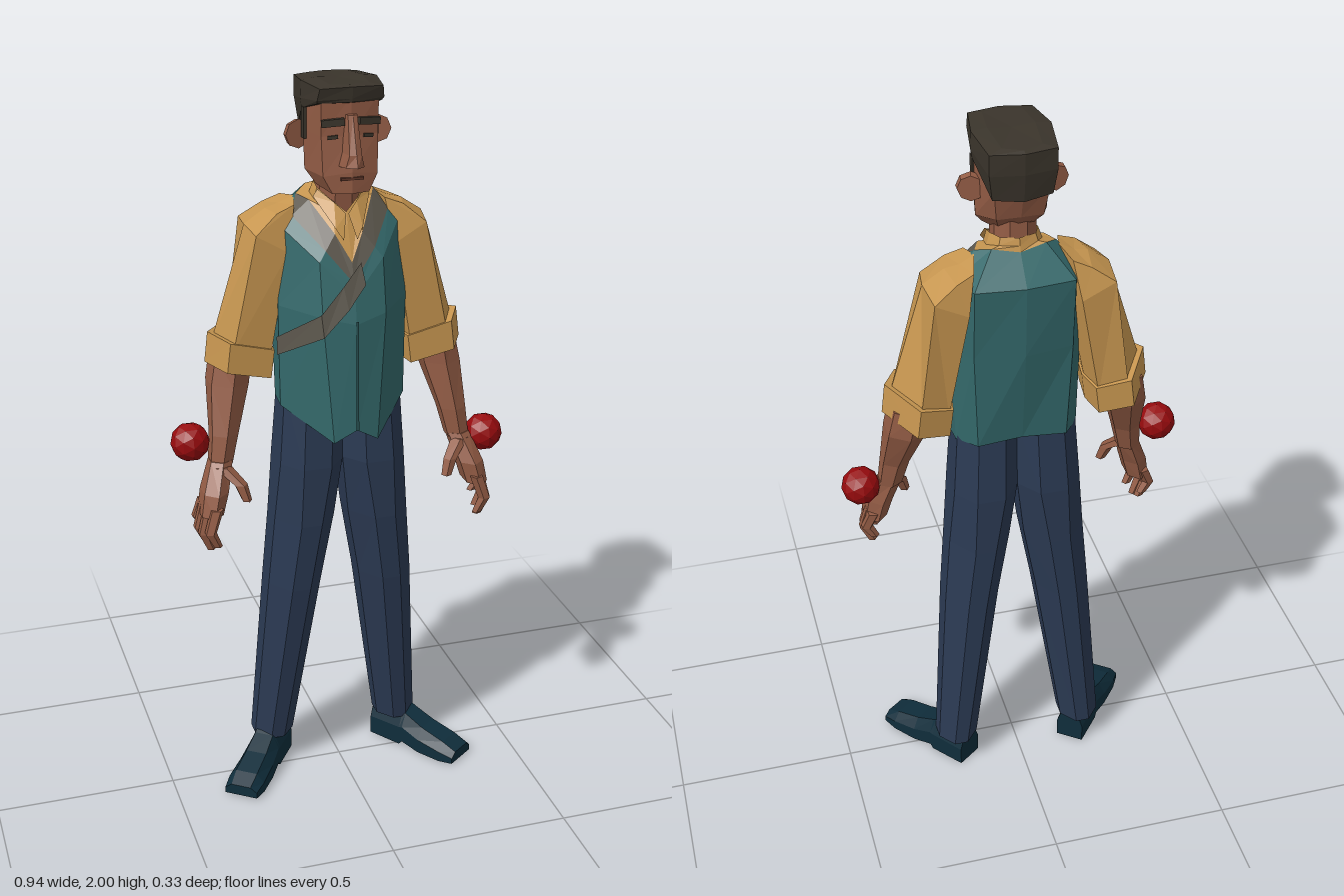
import * as THREE from 'three';

const paint = (name, color, side = THREE.FrontSide) => {
  const m = new THREE.MeshStandardMaterial({ color, side, flatShading: true });
  m.name = name;
  return m;
};

export function createModel() {
  const D = THREE.DoubleSide;
  const skin = paint('skin', 0x935c45), lips = paint('darkSkin', 0x5e3629);
  const shirt = paint('shirt', 0xc79650, D), vest = paint('vest', 0x34696b, D);
  const seam = paint('vestSeam', 0x284f51, D), strapMat = paint('strap', 0x5d584e, D);
  const denim = paint('trousers', 0x2b3a53), leather = paint('shoes', 0x0f2d3b);
  const hairMat = paint('hair', 0x3a342b), red = paint('red', 0x960a0d);

  const model = new THREE.Group();
  const add = (name, geo, mat) => {
    const mesh = new THREE.Mesh(geo, mat);
    mesh.name = name;
    model.add(mesh);
    return mesh;
  };

  // skin a surface over closed rings of [x, y, z]; s mirrors in x, faces are turned outward
  const loft = (name, rings, mat, s = 1, cap = true) => {
    const tris = [];
    const n = rings[0].length;
    for (let i = 0; i + 1 < rings.length; i++) {
      for (let j = 0; j < n; j++) {
        const k = (j + 1) % n, a = rings[i][j], b = rings[i][k], c = rings[i + 1][k], d = rings[i + 1][j];
        tris.push([a, d, b], [b, d, c]);
      }
    }
    if (cap) {
      const mid = r => [0, 1, 2].map(q => r.reduce((t, p) => t + p[q], 0) / n);
      const lo = rings[0], hi = rings[rings.length - 1], ml = mid(lo), mh = mid(hi);
      for (let j = 0; j < n; j++) {
        const k = (j + 1) % n;
        tris.push([ml, lo[j], lo[k]], [mh, hi[k], hi[j]]);
      }
    }
    const V = p => new THREE.Vector3(p[0] * s, p[1], p[2]);
    const o = V(rings[0][0]);
    let vol = 0;
    for (const [a, b, c] of tris) vol += V(a).sub(o).dot(V(b).sub(o).cross(V(c).sub(o)));
    const pos = tris.flatMap(t => (vol < 0 ? [t[0], t[2], t[1]] : t)).flatMap(p => [p[0] * s, p[1], p[2]]);
    const g = new THREE.BufferGeometry();
    g.setAttribute('position', new THREE.Float32BufferAttribute(pos, 3));
    g.computeVertexNormals();
    return add(name, g, mat);
  };
  // complete a ring from its +x half, centre points first and last
  const whole = h => [...h, ...h.slice(1, -1).reverse().map(([x, y, z]) => [-x, y, z])];
  // chamfered rectangle ring at height y
  const block = (x0, x1, y, z0, z1, c = 0.33) => {
    const cx = (x1 - x0) * c, cz = (z1 - z0) * c;
    return [[x0 + cx, y, z0], [x1 - cx, y, z0], [x1, y, z0 + cz], [x1, y, z1 - cz],
      [x1 - cx, y, z1], [x0 + cx, y, z1], [x0, y, z1 - cz], [x0, y, z0 + cz]];
  };
  // limb from [x, y, z, radiusX, radiusZ] stations
  const limb = (name, stations, mat, s, sides = 6) => loft(name, stations.map(([x, y, z, rx, rz]) =>
    Array.from({ length: sides }, (_, i) => {
      const t = (i + 0.5) / sides * Math.PI * 2;
      return [x + Math.cos(t) * rx, y, z + Math.sin(t) * rz];
    })), mat, s);
  // thin open band between two edges
  const band = (name, e1, e2, mat, s = 1) => {
    const pos = [];
    for (let i = 0; i + 1 < e1.length; i++) {
      const [a, b, c, d] = [e1[i], e2[i], e2[i + 1], e1[i + 1]];
      const quad = [a, b, c, a, c, d];
      for (const p of s > 0 ? quad : quad.reverse()) pos.push(p[0] * s, p[1], p[2]);
    }
    const g = new THREE.BufferGeometry();
    g.setAttribute('position', new THREE.Float32BufferAttribute(pos, 3));
    g.computeVertexNormals();
    add(name, g, mat);
  };
  const box = (name, w, h, d, x, y, z, mat, rz = 0, ry = 0) => {
    const m = add(name, new THREE.BoxGeometry(w, h, d), mat);
    m.position.set(x, y, z);
    m.rotation.set(0, ry, rz);
  };

  // waistcoat: V neckline edged by lapels, shoulders, chest, pointed hem
  const neckline = [[0, 1.70, -0.09], [0.07, 1.71, -0.075], [0.105, 1.695, -0.04], [0.085, 1.69, 0.01], [0.037, 1.615, 0.085], [0, 1.545, 0.115]];
  const shoulder = [[0, 1.63, -0.153], [0.13, 1.63, -0.14], [0.16, 1.63, -0.06], [0.16, 1.625, 0.012], [0.085, 1.55, 0.11], [0, 1.46, 0.143]];
  const chest = [[0, 1.43, -0.145], [0.13, 1.43, -0.125], [0.172, 1.42, -0.05], [0.175, 1.42, 0.03], [0.085, 1.41, 0.138], [0, 1.39, 0.157]];
  const hem = [[0, 1.16, -0.115], [0.12, 1.15, -0.115], [0.165, 1.14, -0.05], [0.172, 1.14, 0.03], [0.06, 1.065, 0.155], [0, 1.1, 0.164]];
  const lapelEdge = neckline.map((p, i) => (i < 3 ? p : p.map((v, q) => v + (shoulder[i][q] - v) * 0.6)));
  loft('waistcoat', [hem, chest, shoulder, lapelEdge].map(whole), vest, 1, false);
  band('waistcoatClosure', [[-0.003, 1.4, 0.16], [-0.003, 1.1, 0.168]], [[0.004, 1.4, 0.16], [0.004, 1.1, 0.168]], seam);

  // shirt front and collar
  const collarBase = [[0, 1.715, -0.085], [0.05, 1.715, -0.07], [0.072, 1.7, -0.03], [0.07, 1.69, 0.01], [0.035, 1.665, 0.055], [0, 1.635, 0.075]];
  const collarTop = [[0, 1.735, -0.08], [0.045, 1.735, -0.065], [0.062, 1.73, -0.025], [0.062, 1.72, 0.01], [0.035, 1.695, 0.045], [0, 1.665, 0.062]];
  loft('shirtFront', [neckline, collarBase].map(whole), shirt, 1, false);
  loft('collar', [collarBase, collarTop].map(whole), shirt, 1, false);
  for (const s of [1, -1]) {
    band('lapel', neckline.slice(2), lapelEdge.slice(2), strapMat, s);
    band('collarFlap', [[0.003, 1.662, 0.072], [0.03, 1.69, 0.056], [0.064, 1.718, 0.02]],
      [[0.018, 1.6, 0.102], [0.036, 1.63, 0.09], [0.076, 1.7, 0.02]], shirt, s);
  }
  // diagonal strap across the chest
  band('strap', [[0.022, 1.545, 0.122], [-0.03, 1.49, 0.14], [-0.09, 1.42, 0.142], [-0.181, 1.335, 0.035]],
    [[0.03, 1.49, 0.139], [-0.02, 1.43, 0.154], [-0.085, 1.36, 0.15], [-0.18, 1.285, 0.035]], strapMat);

  // neck and head
  limb('neck', [[0, 1.63, -0.02, 0.06, 0.06], [0, 1.8, -0.01, 0.058, 0.065]], skin, 1, 8);
  loft('head', [
    [[0, 1.745, -0.05], [0.04, 1.74, -0.03], [0.07, 1.735, 0.03], [0.048, 1.725, 0.103], [0, 1.725, 0.115]],
    [[0, 1.8, -0.095], [0.06, 1.795, -0.085], [0.092, 1.77, 0], [0.072, 1.77, 0.098], [0, 1.78, 0.115]],
    [[0, 1.88, -0.118], [0.07, 1.88, -0.105], [0.095, 1.87, 0], [0.074, 1.87, 0.09], [0, 1.87, 0.105]],
    [[0, 1.97, -0.12], [0.07, 1.97, -0.105], [0.095, 1.97, 0], [0.075, 1.97, 0.095], [0, 1.97, 0.106]],
  ].map(whole), skin);
  loft('nose', [
    [[0, 1.795, 0.1], [0.034, 1.795, 0.1], [0.024, 1.798, 0.138], [0, 1.8, 0.162]],
    [[0, 1.83, 0.1], [0.024, 1.83, 0.1], [0.016, 1.83, 0.142], [0, 1.83, 0.15]],
    [[0, 1.925, 0.09], [0.016, 1.925, 0.09], [0.012, 1.925, 0.115], [0, 1.925, 0.118]],
  ].map(whole), skin);
  box('mouth', 0.06, 0.007, 0.008, 0, 1.764, 0.113, lips);
  loft('hair', [
    [[0, 1.855, -0.122], [0.076, 1.862, -0.109], [0.098, 1.925, 0], [0.084, 1.953, 0.092], [0, 1.956, 0.112]],
    [[0, 1.93, -0.132], [0.085, 1.93, -0.118], [0.102, 1.95, 0], [0.087, 1.962, 0.1], [0, 1.965, 0.114]],
    [[0, 1.985, -0.132], [0.085, 1.985, -0.116], [0.1, 1.995, 0], [0.082, 1.992, 0.108], [0, 1.995, 0.118]],
    [[0, 1.99, -0.12], [0.05, 1.992, -0.1], [0.06, 2, 0], [0.05, 1.998, 0.09], [0, 1.998, 0.1]],
  ].map(whole), hairMat);

  for (const s of [1, -1]) {
    // face details
    box('eyebrow', 0.058, 0.018, 0.016, s * 0.047, 1.906, 0.101, hairMat, s * -0.08, s * 0.2);
    box('eye', 0.026, 0.009, 0.008, s * 0.046, 1.868, 0.097, hairMat, s * -0.1, s * 0.2);
    box('sideburn', 0.008, 0.08, 0.022, s * 0.095, 1.89, 0.008, hairMat);
    const ear = add('ear', new THREE.CylinderGeometry(0.038, 0.034, 0.018, 8), skin);
    ear.position.set(s * 0.106, 1.857, -0.018);
    ear.rotation.set(Math.PI / 2, 0, s * 0.25);

    // sleeve and rolled cuff
    const slope = (pts, y, k) => pts.map(([x, z]) => [x, y + (x - 0.18) * k, z]);
    const elbow = [[0.195, 0.022], [0.295, 0.028], [0.335, -0.05], [0.275, -0.15], [0.2, -0.135], [0.185, -0.06]];
    const cuff = [[0.185, 0.028], [0.305, 0.036], [0.348, -0.045], [0.278, -0.165], [0.19, -0.143], [0.175, -0.06]];
    loft('sleeve', [
      slope(elbow, 1.27, 0.29),
      [[0.145, 1.56, 0.032], [0.23, 1.61, 0.032], [0.242, 1.622, -0.05], [0.232, 1.615, -0.15], [0.145, 1.57, -0.148], [0.13, 1.55, -0.05]],
      [[0.122, 1.678, 0.008], [0.17, 1.66, 0.015], [0.185, 1.66, -0.05], [0.172, 1.655, -0.132], [0.126, 1.675, -0.122], [0.108, 1.688, -0.05]],
    ], shirt, s);
    loft('cuff', [slope(cuff.map(([x, z]) => [x + 0.01, z]), 1.215, 0.24), slope(cuff, 1.295, 0.27)], shirt, s);

    // forearm and hand
    limb('forearm', [[0.336, 0.99, 0.013, 0.034, 0.036], [0.322, 1.07, 0, 0.041, 0.045],
      [0.298, 1.2, -0.045, 0.059, 0.072], [0.285, 1.28, -0.055, 0.056, 0.075]], skin, s);
    limb('palm', [[0.376, 0.865, 0.053, 0.034, 0.058], [0.362, 0.925, 0.045, 0.038, 0.057], [0.336, 1.0, 0.014, 0.034, 0.037]], skin, s);
    limb('thumb', [[0.283, 0.901, 0.085, 0.014, 0.016], [0.297, 0.945, 0.074, 0.019, 0.02], [0.338, 0.988, 0.035, 0.024, 0.027]], skin, s, 5);
    for (let i = 0; i < 4; i++) {
      const z = 0.01 + i * 0.029, x = [0.39, 0.392, 0.386, 0.374][i], drop = [0.045, 0.012, 0, 0.018][i];
      limb('finger', [[x - 0.005, 0.765 + drop, z + 0.003, 0.013, 0.012],
        [x + 0.015, 0.815 + drop * 0.6, z + 0.007, 0.017, 0.016], [x - 0.006, 0.89, z, 0.019, 0.017]], skin, s, 5);
    }

    // trouser leg
    loft('trouserLeg', [
      block(0.13, 0.243, 0.09, -0.131, 0.005), block(0.055, 0.207, 0.6, -0.131, 0.077),
      block(0.02, 0.19, 0.8, -0.131, 0.094), block(0, 0.175, 0.97, -0.128, 0.097, 0.28), block(-0.002, 0.16, 1.18, -0.108, 0.085, 0.28),
    ], denim, s);

    // shoe, turned outward
    const section = ([d, w, y0, h]) => [[-1, y0], [1, y0], [1, y0 + (h - y0) * 0.55], [0.6, h], [-0.6, h], [-1, y0 + (h - y0) * 0.55]]
      .map(([k, y]) => [0.165 + 0.6 * d + 0.8 * k * w, y, -0.088 + 0.8 * d - 0.6 * k * w]);
    loft('shoe', [[-0.016, 0.04, 0, 0.1], [0.09, 0.045, 0, 0.105], [0.1, 0.045, 0.012, 0.1], [0.16, 0.05, 0, 0.075],
      [0.235, 0.053, 0, 0.055], [0.278, 0.048, 0.004, 0.035]].map(section), leather, s);

    // red ball beside the wrist
    const ball = add('redBall', new THREE.IcosahedronGeometry(0.053, 1), red);
    ball.position.set(s * 0.415, s > 0 ? 0.985 : 1.055, s > 0 ? 0.016 : 0.006);
  }
  return model;
}
